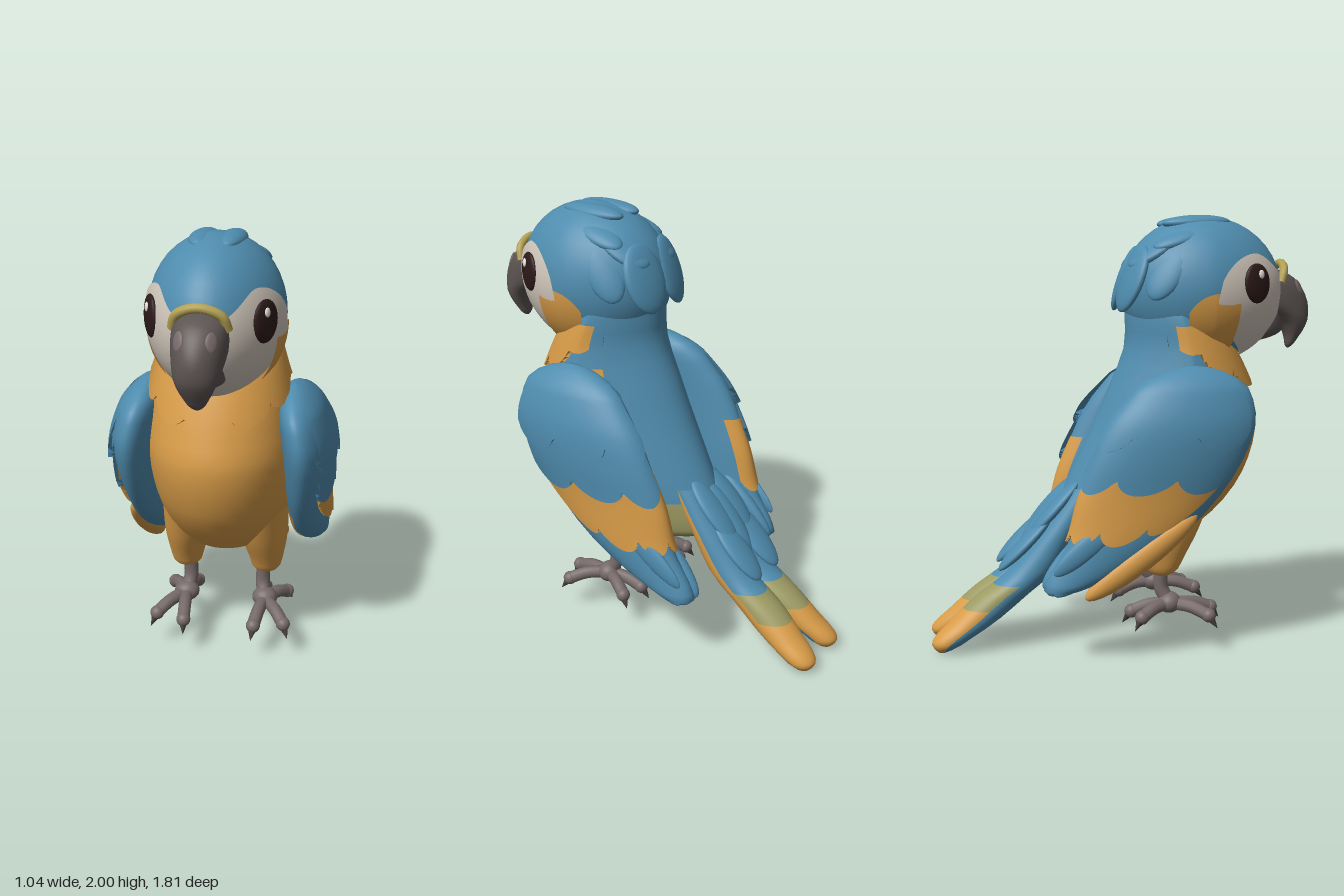
import * as THREE from 'three';

const mat = (name, color) => {
  const m = new THREE.MeshStandardMaterial({ color, side: THREE.DoubleSide });
  m.name = name;
  return m;
};

// Surface stacked from horizontal ellipses; rows are [y, zFront, zBack, centreX, halfWidth].
// capLo and capHi are the heights over which the ends round off to a point;
// slimFront and slimBack narrow the ellipse towards its front and back.
function loft(rows, capLo = 0, capHi = 0, slimFront = 0, slimBack = 0) {
  const n = rows.length, y0 = rows[0][0], y1 = rows[n - 1][0];
  const slope = (i, c) => {
    const a = rows[Math.max(i - 1, 0)], b = rows[Math.min(i + 1, n - 1)];
    return (b[c] - a[c]) / (b[0] - a[0]);
  };
  const S = (a, y) => {
    y = THREE.MathUtils.clamp(y, y0, y1);
    let i = 0;
    while (i < n - 2 && y > rows[i + 1][0]) i++;
    const h = rows[i + 1][0] - rows[i][0], t = (y - rows[i][0]) / h;
    const [zf, zb, cx, w] = [1, 2, 3, 4].map((c) =>
      rows[i][c] * (1 + 2 * t) * (1 - t) ** 2 + rows[i + 1][c] * t * t * (3 - 2 * t)
      + h * t * (1 - t) * (slope(i, c) * (1 - t) - slope(i + 1, c) * t));
    let r = 1;
    if (capLo && y - y0 < capLo) r *= Math.sqrt(Math.max(0, 1 - (1 - (y - y0) / capLo) ** 2));
    if (capHi && y1 - y < capHi) r *= Math.sqrt(Math.max(0, 1 - (1 - (y1 - y) / capHi) ** 2));
    const c = Math.cos(a), slim = 1 - slimFront * Math.max(0, c) - slimBack * Math.max(0, -c);
    return new THREE.Vector3(cx + w * r * slim * Math.sin(a), y, (zf + zb) / 2 + (zf - zb) / 2 * r * c);
  };
  S.range = [y0, y1];
  S.normal = (a, y) => {
    const e = (y1 - y0) * 0.002;
    y = THREE.MathUtils.clamp(y, y0 + 2 * e, y1 - 2 * e);
    const da = S(a + 0.01, y).sub(S(a - 0.01, y)), dy = S(a, y + e).sub(S(a, y - e));
    return da.cross(dy).normalize();
  };
  return S;
}

// Part of a loft between angles a0..a1 (0 = front, PI/2 = +x) and edges lo(a)..hi(a),
// raised by off at the lower edge and offTop at the upper one.
function patch(group, name, material, S, a0 = 0, a1 = Math.PI * 2, lo = S.range[0], hi = S.range[1], off = 0, offTop = 0) {
  const na = 56, ny = 20, pos = [], nor = [], idx = [];
  const val = (f, a) => (typeof f === 'function' ? f(a) : f);
  for (let j = -1; j <= ny; j++) {
    const s = (1 - Math.cos(Math.PI * Math.max(j, 0) / ny)) / 2;
    for (let i = 0; i <= na; i++) {
      const a = a0 + (a1 - a0) * i / na;
      const y = val(lo, a) + (val(hi, a) - val(lo, a)) * s;
      const nn = S.normal(a, y);
      const lift = j < 0 ? 0 : off + (offTop - off) * s;
      pos.push(...S(a, y).addScaledVector(nn, lift).toArray());
      nor.push(...nn.toArray());
      if (i < na && j < ny) {
        const p = (j + 1) * (na + 1) + i, q = p + na + 1;
        idx.push(p, p + 1, q, p + 1, q + 1, q);
      }
    }
  }
  const g = new THREE.BufferGeometry();
  g.setAttribute('position', new THREE.Float32BufferAttribute(pos, 3));
  g.setAttribute('normal', new THREE.Float32BufferAttribute(nor, 3));
  g.setIndex(idx);
  return add(group, name, g, material);
}

function add(group, name, geometry, material) {
  const m = new THREE.Mesh(geometry, material);
  m.name = name;
  group.add(m);
  return m;
}

// Flattened ellipsoid from A to B whose flat side faces N.
function plume(group, name, material, A, B, width, thick, N) {
  const a = new THREE.Vector3(...A), b = new THREE.Vector3(...B);
  const d = b.clone().sub(a), len = d.length();
  d.normalize();
  const x = new THREE.Vector3().crossVectors(d, new THREE.Vector3(...N)).normalize();
  const z = new THREE.Vector3().crossVectors(x, d);
  const m = add(group, name, new THREE.SphereGeometry(1, 20, 14), material);
  m.quaternion.setFromRotationMatrix(new THREE.Matrix4().makeBasis(x, d, z));
  m.position.copy(a.add(b).multiplyScalar(0.5));
  m.scale.set(width, len / 2, thick);
}

export function createModel() {
  const root = new THREE.Group();
  root.name = 'parrot';
  const blue = mat('blue feathers', 0x4f8cae), yellow = mat('golden feathers', 0xd89c48);
  const face = mat('pale face', 0xd0c6ba), beakM = mat('beak grey', 0x5c5452);
  const legM = mat('leg grey', 0x766a69), claw = mat('claw dark', 0x453e3e);
  const olive = mat('olive feathers', 0x9c9a62), cereM = mat('cere olive', 0xb3a052);
  const eyeM = mat('eye dark', 0x2c1a19), shine = mat('eye shine', 0xf2eeea);
  const PI = Math.PI;

  // Body: golden breast and belly, blue back
  const body = loft([
    [0.44, 0.24, -0.28, 0, 0.17], [0.52, 0.33, -0.33, 0, 0.23], [0.65, 0.48, -0.31, 0, 0.285],
    [0.81, 0.59, -0.24, 0, 0.318], [1.02, 0.645, -0.14, 0, 0.33], [1.18, 0.61, -0.07, 0, 0.315],
    [1.39, 0.53, 0.015, 0, 0.283], [1.55, 0.45, 0.02, 0, 0.255], [1.7, 0.4, 0.03, 0, 0.2]], 0.1, 0.1, 0, 0.3);
  patch(root, 'breast', yellow, body, -1.95, 1.95, 0.44, 1.3);
  patch(root, 'rump', yellow, body, 1.95, 2 * PI - 1.95, 0.44, 0.56);
  patch(root, 'back', blue, body, 1.95, 2 * PI - 1.95, 0.56);
  patch(root, 'neck', blue, body, -1.95, 1.95, 1.3);
  patch(root, 'bib', yellow, body, -1.75, 1.75,
    (a) => 1.26 + 0.2 * (a / 1.75) ** 2 - 0.065 * Math.sqrt(Math.abs(Math.cos(5.4 * a))), 1.5, 0.026, 0.002);

  // Head with pale face
  const head = loft([[1.32, 0.76, 0, 0, 0.295], [2, 0.76, 0, 0, 0.295]], 0.34, 0.34, 0.13);
  const faceTop = (a) => {
    const s = Math.abs(a) / 1.55;
    return s < 0.6 ? 1.73 + 0.09 * THREE.MathUtils.smoothstep(s, 0.2, 0.6)
      : 1.62 + 0.2 * Math.sqrt(Math.max(0, 1 - ((s - 0.6) / 0.4) ** 2));
  };
  const faceBottom = (a) => 1.6 - 0.24 * Math.sqrt(Math.max(0, 1 - (Math.abs(a) / 1.55) ** 2.5));
  patch(root, 'head', blue, head);
  patch(root, 'face', face, head, -1.55, 1.55, faceBottom, faceTop, 0.01, 0.01);

  // Beak and cere
  const beak = loft([
    [1.38, 0.825, 0.795, 0, 0.025], [1.42, 0.85, 0.795, 0, 0.045], [1.47, 0.882, 0.78, 0, 0.072],
    [1.52, 0.902, 0.74, 0, 0.092], [1.6, 0.9, 0.6, 0, 0.112], [1.68, 0.86, 0.58, 0, 0.115],
    [1.765, 0.78, 0.58, 0, 0.1]], 0.03, 0.06);
  patch(root, 'upperBeak', beakM, beak);
  patch(root, 'lowerBeak', beakM, loft([[1.415, 0.73, 0.5, 0, 0.075], [1.47, 0.775, 0.5, 0, 0.095],
    [1.56, 0.79, 0.5, 0, 0.1]], 0.05));
  const arch = [[-0.112, 1.69, 0.735], [-0.09, 1.75, 0.755], [0, 1.782, 0.765], [0.09, 1.75, 0.755], [0.112, 1.69, 0.735]];
  add(root, 'cere', new THREE.TubeGeometry(
    new THREE.CatmullRomCurve3(arch.map((p) => new THREE.Vector3(...p))), 32, 0.02, 10), cereM);

  // Everything that comes in pairs, mirrored across x
  const wing = loft([
    [0.325, -0.31, -0.42, 0.375, 0.06], [0.41, -0.07, -0.39, 0.375, 0.075], [0.56, 0.19, -0.3, 0.375, 0.09],
    [0.76, 0.39, -0.25, 0.375, 0.098], [0.94, 0.5, -0.18, 0.38, 0.108], [1.08, 0.545, -0.11, 0.375, 0.11],
    [1.2, 0.53, -0.02, 0.355, 0.1], [1.33, 0.47, 0.08, 0.325, 0.075]], 0.03, 0.11);
  const thigh = loft([[0.34, 0.22, 0.1, 0.19, 0.06], [0.42, 0.26, 0.06, 0.19, 0.08],
    [0.55, 0.33, 0, 0.18, 0.11], [0.72, 0.4, -0.02, 0.17, 0.12]], 0.04);
  const tail = loft([
    [0, -0.82, -0.9, 0.115, 0.05], [0.06, -0.73, -0.9, 0.11, 0.07], [0.14, -0.6, -0.82, 0.095, 0.083],
    [0.25, -0.46, -0.7, 0.08, 0.09], [0.36, -0.33, -0.55, 0.075, 0.09], [0.55, -0.22, -0.39, 0.07, 0.09],
    [0.75, -0.1, -0.25, 0.06, 0.09]], 0.05);

  for (const side of [1, -1]) {
    const half = new THREE.Group();
    half.name = side > 0 ? 'leftSide' : 'rightSide';
    half.scale.x = side;
    root.add(half);
    patch(half, 'rumpSide', olive, body, 1.95, 2.75, 0.5, 0.68, 0.004, 0.004);

    // Wing with overlapping feather rows
    const lobes = (base, deep) => (a) => base - deep * Math.sqrt(Math.abs(Math.sin(3.77 * (a - 0.6))));
    patch(half, 'wing', blue, wing);
    patch(half, 'goldenWingRow', yellow, wing, 0.7, 3.7,
      (a) => 0.63 + 0.18 * (Math.max(0, 1.7 - a)) ** 2 - 0.07 * Math.sqrt(Math.abs(Math.sin(4.2 * (a - 0.7)))), 0.92, 0.018, 0.002);
    patch(half, 'lowerCoverts', blue, wing, 0.6, 3.1, lobes(0.87, 0.085), 1.12, 0.024, 0.002);
    patch(half, 'upperCoverts', blue, wing, 0.6, 3.1, lobes(1.06, 0.09), 1.28, 0.03, 0.002);
    plume(half, 'primary', blue, [0.43, 0.68, 0.12], [0.42, 0.335, -0.37], 0.06, 0.03, [1, 0.1, 0]);
    plume(half, 'primary', blue, [0.45, 0.7, -0.05], [0.43, 0.43, -0.37], 0.05, 0.022, [1, 0.1, 0]);
    plume(half, 'innerPrimary', blue, [0.33, 0.68, -0.08], [0.34, 0.35, -0.41], 0.06, 0.04, [1, 0.3, -0.4]);
    if (side > 0) patch(half, 'wingLining', yellow, wing, PI + 0.3, 2 * PI - 0.5, 0.35, 0.68, 0.006, 0.003);
    else plume(half, 'goldenPrimary', yellow, [0.42, 0.68, 0.27], [0.415, 0.31, -0.23], 0.065, 0.055, [1, 0, 0]);

    // Cheek and eye
    patch(half, 'cheek', yellow, head, 1.25, 1.9,
      (a) => 1.4 + 0.08 * ((a - 1.25) / 0.65) ** 2 - 0.025 * Math.abs(Math.sin(9 * (a - 1.25))),
      (a) => 1.65 - 0.09 * ((a - 1.25) / 0.65) ** 4, 0.022, 0.007);
    const c = head(1.01, 1.69), n = head.normal(1.01, 1.69);
    const at = (dy, t, d) => c.clone().addScaledVector(n, d).add(new THREE.Vector3(-n.z * t, dy, n.x * t)).toArray();
    plume(half, 'eye', eyeM, at(-0.09, 0, 0.006), at(0.09, 0, 0.001), 0.078, 0.022, n.toArray());
    plume(half, 'eyeShine', shine, at(0.02, 0.01, 0.024), at(0.06, 0.01, 0.02), 0.016, 0.007, n.toArray());

    // Nostril plate on the beak
    const b = beak(0.6, 1.67), bn = beak.normal(0.6, 1.67).toArray();
    plume(half, 'nostrilPlate', legM, [b.x, b.y - 0.04, b.z + 0.015], [b.x, b.y + 0.035, b.z - 0.02], 0.026, 0.008, bn);

    // Crown feathers swept back over the head
    [[[0.06, 1.97, 0.5], [0.06, 1.96, 0.18], 0.06, 0.035, [0, 1, -0.1]],
      [[0.14, 1.93, 0.36], [0.16, 1.85, 0.12], 0.06, 0.03, [0.4, 0.9, -0.4]],
      [[0.1, 1.93, 0.28], [0.1, 1.765, 0.02], 0.1, 0.035, [0.2, 0.8, -0.8]],
      [[0.2, 1.86, 0.25], [0.22, 1.62, 0.1], 0.08, 0.03, [0.8, 0.3, -0.5]],
      [[0.1, 1.86, 0.09], [0.1, 1.56, -0.02], 0.11, 0.035, [0.25, 0.2, -1]]]
      .forEach(([A, B, w, t, N]) => plume(half, 'crownFeather', blue, A, B, w, t, N));

    // Tail feather: coloured bands on top, plain underneath
    patch(half, 'tailTip', yellow, tail, PI / 2, 1.5 * PI, 0, 0.2);
    patch(half, 'tailBand', olive, tail, PI / 2, 1.5 * PI, 0.2, 0.31);
    patch(half, 'tailTop', blue, tail, PI / 2, 1.5 * PI, 0.31);
    patch(half, 'tailUnderside', side > 0 ? yellow : blue, tail, -PI / 2, PI / 2);
    plume(half, 'tailCovert', blue, [0.07, 0.78, -0.21], [0.07, 0.52, -0.45], 0.07, 0.03, [0, 0.7, -0.7]);
    plume(half, 'tailCovert', blue, [0.08, 0.62, -0.34], [0.08, 0.37, -0.59], 0.075, 0.03, [0, 0.7, -0.7]);

    // Leg, toes and claws
    patch(half, 'thigh', yellow, thigh);
    const tube = (name, pts, r) => add(half, name, new THREE.TubeGeometry(
      new THREE.CatmullRomCurve3(pts.map((p) => new THREE.Vector3(...p))), 16, r, 10), legM);
    tube('shank', [[0.18, 0.38, 0.16], [0.175, 0.28, 0.16], [0.19, 0.2, 0.2]], 0.034);
    plume(half, 'footPad', legM, [0.19, 0.16, 0.2], [0.19, 0.26, 0.19], 0.06, 0.055, [0, 0, 1]);
    for (const [x, z] of [[0.3, 0.36], [0.165, 0.4], [0.17, 0.02], [0.28, 0.05]]) {
      const dx = x - 0.19, dz = z - 0.2, tip = [x, 0.17, z];
      tube('toe', [[0.19, 0.205, 0.2], [0.19 + dx * 0.55, 0.2, 0.2 + dz * 0.55], tip], 0.03);
      plume(half, 'toeEnd', legM, [x, 0.137, z], [x, 0.203, z], 0.033, 0.033, [0, 0, 1]);
      const l = Math.hypot(dx, dz), dir = new THREE.Vector3(dx / l, -1.3, dz / l).normalize();
      const m = add(half, 'claw', new THREE.ConeGeometry(0.027, 0.075, 10), claw);
      m.quaternion.setFromUnitVectors(new THREE.Vector3(0, 1, 0), dir);
      m.position.set(...tip).addScaledVector(dir, 0.035);
    }
  }
  plume(root, 'middleTailCovert', blue, [0, 0.75, -0.24], [0, 0.46, -0.49], 0.06, 0.035, [0, 0.7, -0.7]);
  return root;
}
